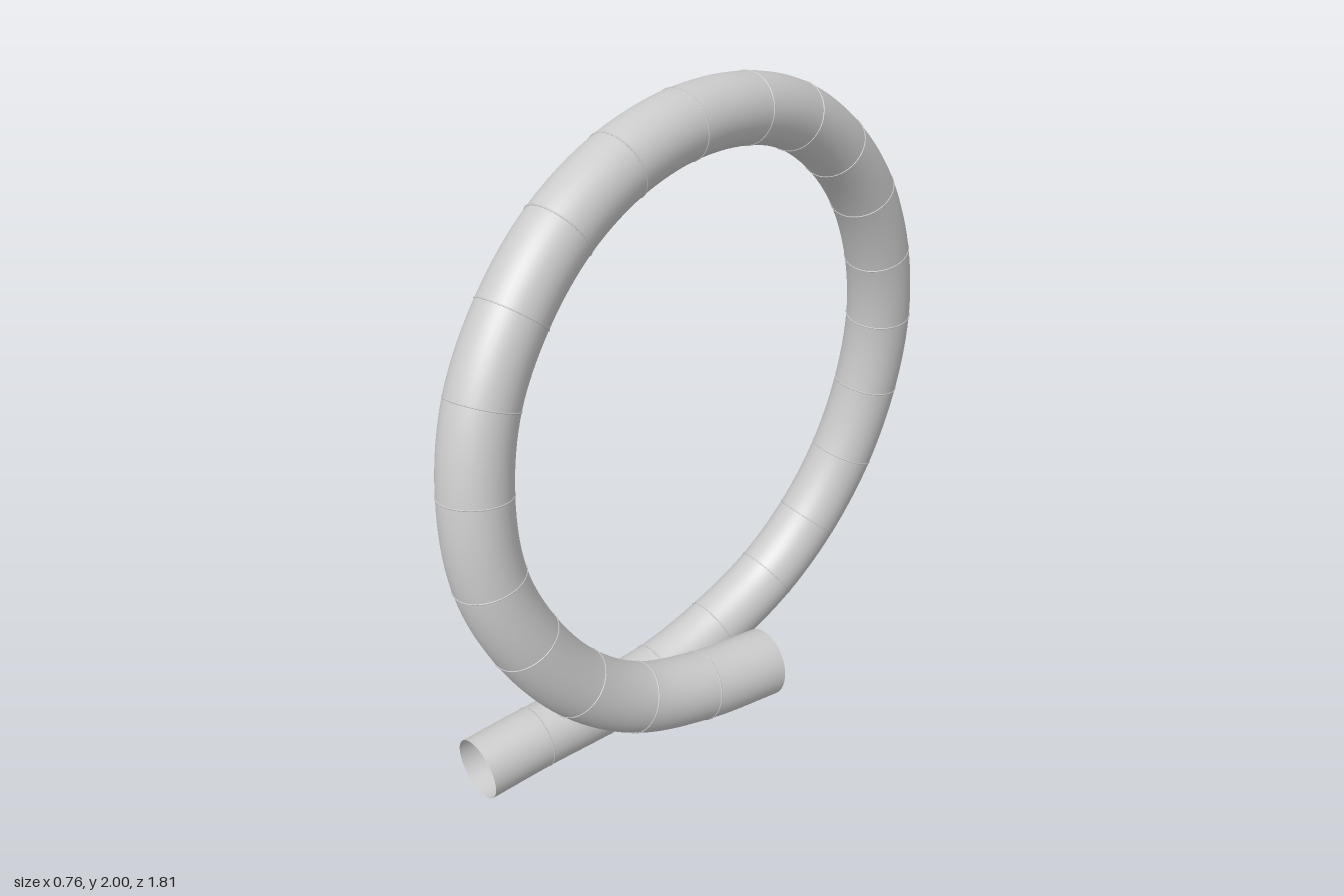
import * as THREE from 'three';

const RADIUS = 0.09;

// Joints of the loop's centre line, from the low front end round to the upper end
const JOINTS = [
  [-0.295, 0.095, 0.56], [-0.265, 0.11, 0.365], [-0.23, 0.12, 0.16], [-0.195, 0.14, -0.055],
  [-0.16, 0.21, -0.265], [-0.125, 0.32, -0.465], [-0.095, 0.465, -0.615], [-0.065, 0.655, -0.73],
  [-0.038, 0.875, -0.795], [-0.018, 1.1, -0.81], [-0.005, 1.31, -0.77], [0.004, 1.52, -0.675],
  [0.01, 1.69, -0.535], [0.015, 1.82, -0.36], [0.018, 1.89, -0.17], [0.02, 1.91, 0.065],
  [0.022, 1.87, 0.28], [0.03, 1.775, 0.48], [0.041, 1.63, 0.64], [0.056, 1.455, 0.755],
  [0.077, 1.25, 0.81], [0.102, 1.03, 0.805], [0.135, 0.84, 0.735], [0.17, 0.66, 0.605],
  [0.207, 0.54, 0.44], [0.248, 0.487, 0.242], [0.288, 0.47, 0.035],
].map((p) => new THREE.Vector3(...p));

export function createModel() {
  const model = new THREE.Group();
  model.name = 'loopedPipe';
  const material = new THREE.MeshStandardMaterial({ color: 0xcccccc, side: THREE.DoubleSide });
  const path = new THREE.CatmullRomCurve3(JOINTS);
  const last = JOINTS.length - 1;

  // Hollow pipe, open at both ends
  const pipe = new THREE.Mesh(new THREE.TubeGeometry(path, last * 8, RADIUS, 40), material);
  pipe.name = 'pipe';
  model.add(pipe);

  // Fine seam where neighbouring pipe sections meet
  const seamGeometry = new THREE.TorusGeometry(RADIUS, 0.002, 6, 40);
  const forward = new THREE.Vector3(0, 0, 1);
  for (let i = 1; i < last; i++) {
    const seam = new THREE.Mesh(seamGeometry, material);
    seam.name = `seam${i}`;
    seam.position.copy(JOINTS[i]);
    seam.quaternion.setFromUnitVectors(forward, path.getTangent(i / last));
    model.add(seam);
  }
  return model;
}
